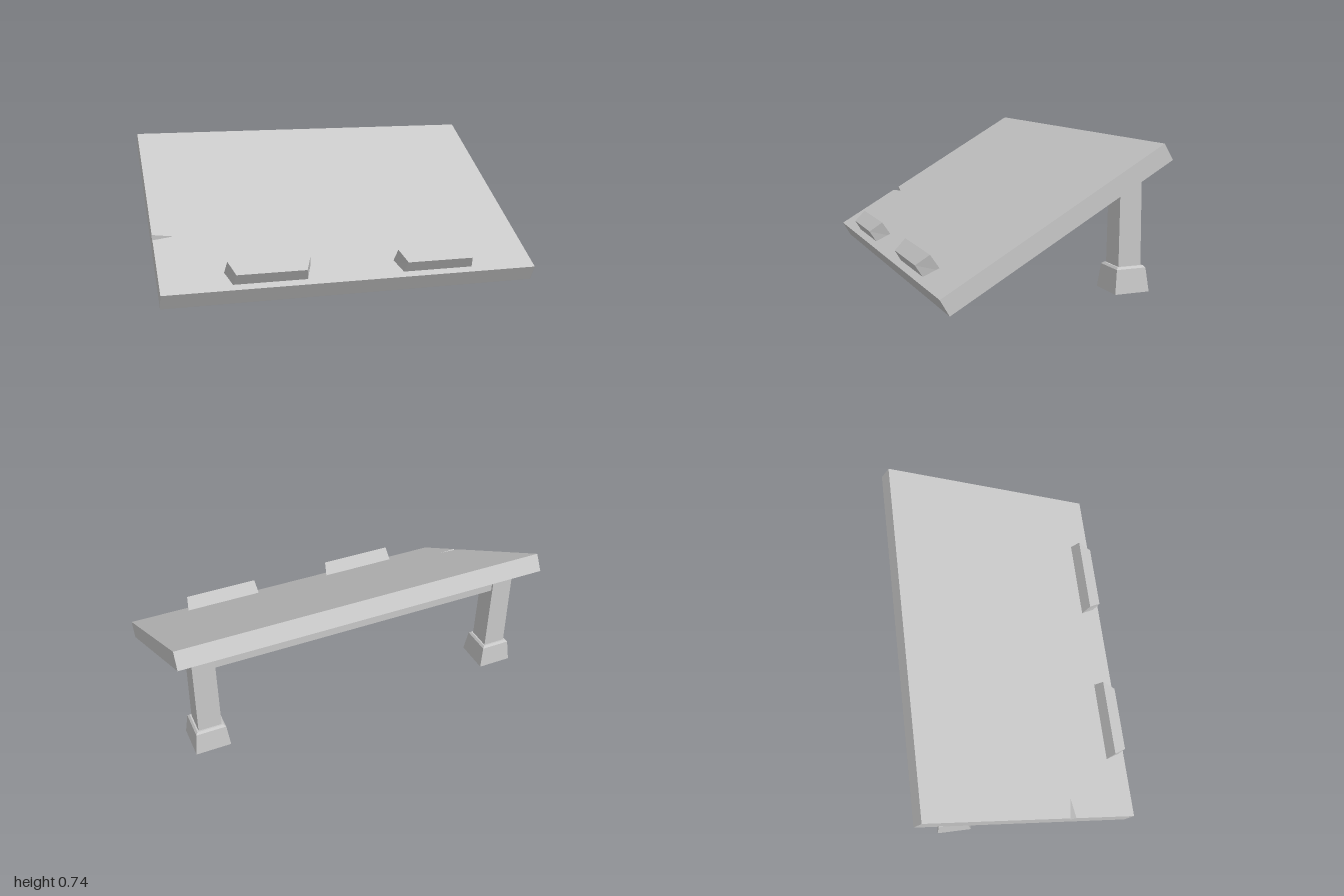
import * as THREE from 'three';

const grey = new THREE.MeshStandardMaterial({ color: 0xc8c8c8 });
grey.name = 'plain grey';

function part(name, geometry) {
  const mesh = new THREE.Mesh(geometry, grey);
  mesh.name = name;
  return mesh;
}

// Extrude a [z, y] outline along x, from -1 to 1
function extrudeAlongX(outline, steps = 1) {
  const shape = new THREE.Shape(outline.map(([z, y]) => new THREE.Vector2(-z, y)));
  return new THREE.ExtrudeGeometry(shape, { depth: 2, steps, bevelEnabled: false })
    .rotateY(Math.PI / 2).translate(-1, 0, 0);
}

// Visit each vertex with the index of the outline point it came from
function reshape(geometry, outline, rule) {
  const p = geometry.attributes.position;
  for (let i = 0; i < p.count; i++) {
    const k = outline.findIndex(([z, y]) => Math.hypot(p.getZ(i) - z, p.getY(i) - y) < 1e-4);
    rule(p, i, k);
  }
  geometry.computeVertexNormals();
  return geometry;
}

// Square tapered block standing at height y
function taperedBlock(name, bottom, top, height, y) {
  const geometry = new THREE.CylinderGeometry(top / Math.SQRT2, bottom / Math.SQRT2, height, 4, 1)
    .rotateY(Math.PI / 4).translate(0, y + height / 2, 0).toNonIndexed();
  geometry.computeVertexNormals();
  return part(name, geometry);
}

// Sloping board with a small chip that fades out from its right edge
function board() {
  const outline = [
    [0.545, 0], [0.592, 0.081],
    [0.25, 0.2785], [0.215, 0.255], [0.215, 0.2987], // chip
    [-0.547, 0.739], [-0.595, 0.658],
  ];
  const tip = [0.2325, 0.2886];
  return reshape(extrudeAlongX(outline, 2), outline, (p, i, k) => {
    const x = p.getX(i);
    if (x < -0.5) return;
    if (x < 0.5) p.setX(i, -0.89);
    if (k >= 2 && k <= 4) p.setXYZ(i, p.getX(i), tip[1], tip[0]);
  });
}

// Stop block, narrower towards its front lip
function stopBlock() {
  const outline = [[0.55, 0.085], [0.595, 0.157], [0.528, 0.211], [0.475, 0.13]];
  const halfWidth = [0.195, 0.18, 0.213, 0.225];
  return reshape(extrudeAlongX(outline), outline, (p, i, k) => {
    p.setX(i, p.getX(i) * halfWidth[k]);
  });
}

export function createModel() {
  const model = new THREE.Group();
  model.name = 'slopingBoardOnPosts';
  model.add(part('board', board()));

  for (const [side, sign] of [['left', 1], ['right', -1]]) {
    const stop = part(side + 'StopBlock', stopBlock());
    stop.position.x = 0.45 * sign;

    const post = new THREE.Group();
    post.name = side + 'Post';
    post.add(
      taperedBlock('foot', 0.188, 0.16, 0.12, 0),
      taperedBlock('footBevel', 0.16, 0.14, 0.01, 0.12),
      taperedBlock('shaft', 0.124, 0.116, 0.475, 0.125),
    );
    post.position.set(0.85 * sign, 0, -0.4225);
    model.add(stop, post);
  }

  // Rail joining the posts under the board
  const rail = part('rail', new THREE.BoxGeometry(1.66, 0.09, 0.065));
  rail.position.set(0, 0.55, -0.438);
  model.add(rail);
  return model;
}
